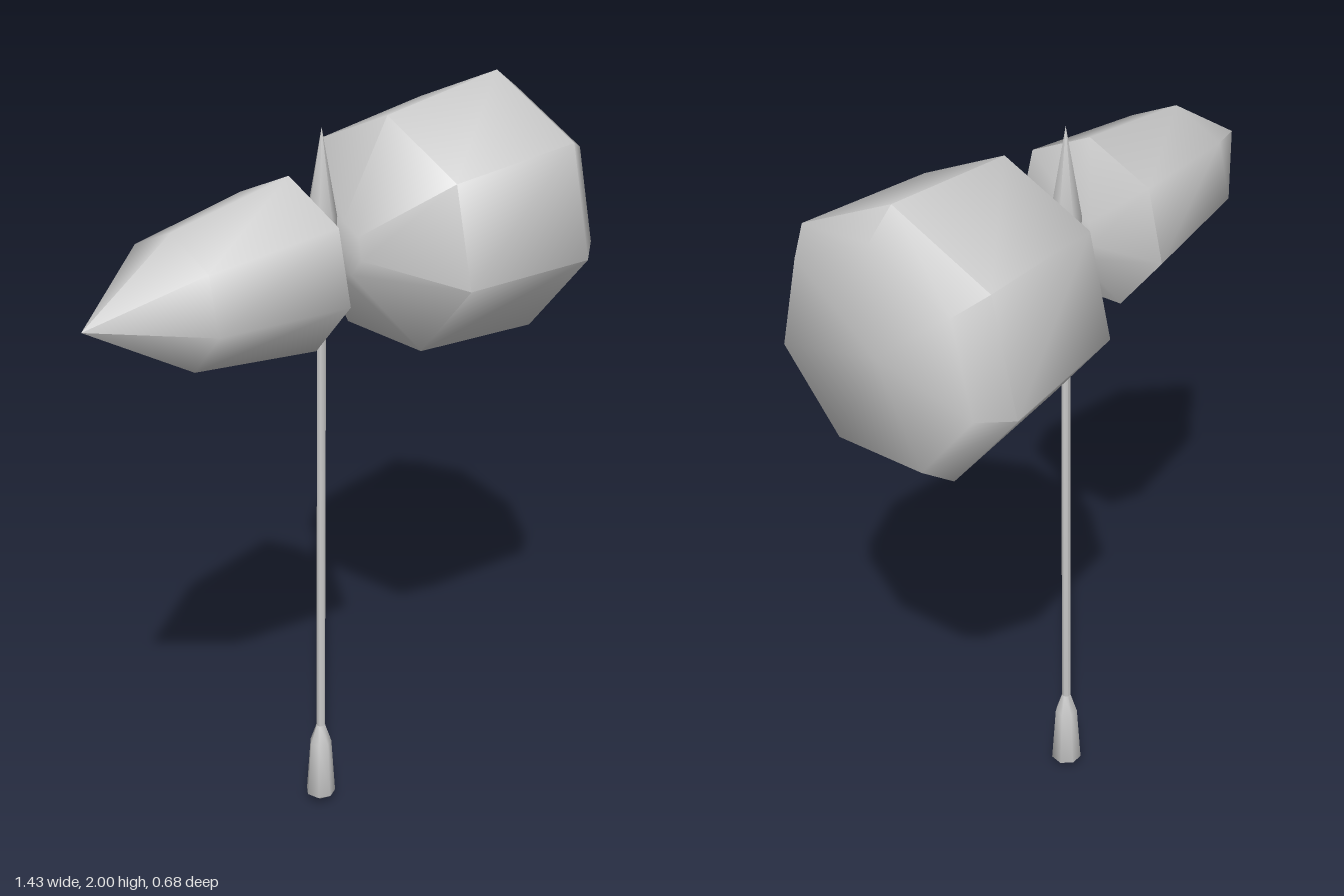
import * as THREE from 'three';
import { toCreasedNormals } from 'three/addons/utils/BufferGeometryUtils.js';

const SIDES = 7;

// Seven-sided turned solid; each profile point is [radius, position along axis]
function turned(profile, phiStart) {
  const points = profile.map(([r, h]) => new THREE.Vector2(r, h));
  return new THREE.LatheGeometry(points, SIDES, phiStart);
}

export function createModel() {
  const model = new THREE.Group();
  const steel = new THREE.MeshStandardMaterial({ color: 0xcccccc });
  steel.name = 'steel grey';

  function add(name, geometry, x, y, z) {
    const mesh = new THREE.Mesh(toCreasedNormals(geometry, Math.PI / 3), steel);
    mesh.name = name;
    mesh.position.set(x, y, z);
    model.add(mesh);
  }

  // Parts lying along x, with one corner pointing up
  const sideways = (profile) => turned(profile, -Math.PI / 2).rotateZ(-Math.PI / 2);

  // Heavy striking head
  add('hammerHead', sideways([
    [0, 0.097], [0.07, 0.097], [0.31, 0.245], [0.347, 0.637], [0.285, 0.717], [0, 0.717],
  ]), 0, 1.653, 0);

  // Pointed beak on the opposite side
  add('spike', sideways([
    [0, -0.717], [0.172, -0.45], [0.2235, -0.083], [0.07, -0.005], [0, -0.005],
  ]), 0, 1.66, 0);

  // Upright parts share one axis
  const ax = 0.048, az = -0.026;
  add('topPoint', turned([
    [0, 1.455], [0.03, 1.46], [0.037, 1.485], [0.039, 1.74], [0, 1.97],
  ], 0), ax, 0, az);
  add('shaft', turned([[0.012, 0.24], [0.012, 1.47]], 0), ax, 0, az);
  add('grip', turned([
    [0, 0.005], [0.041, 0.035], [0.03, 0.2], [0.012, 0.255], [0, 0.255],
  ], 0), ax, 0, az);

  return model;
}
